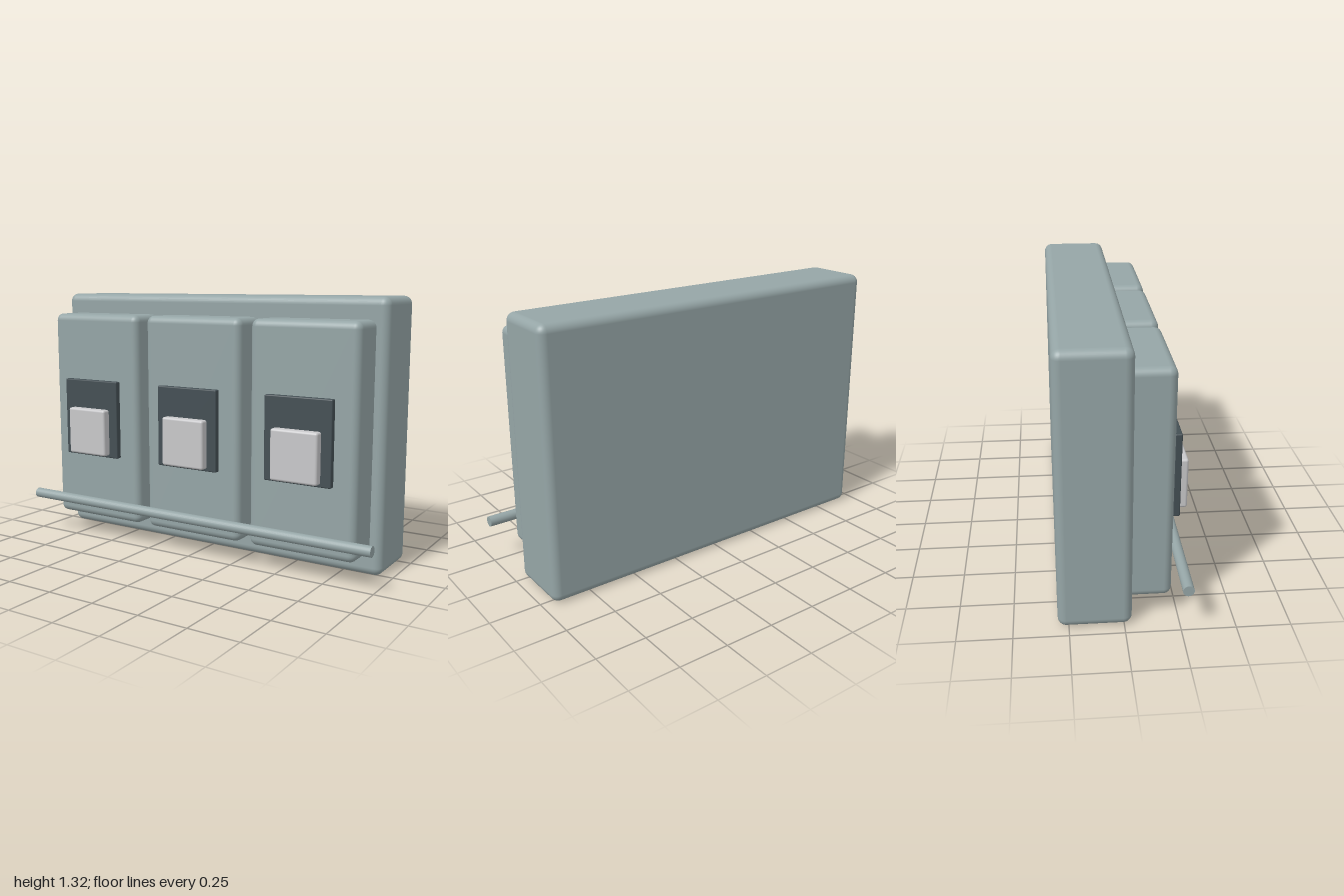
import * as THREE from 'three';
import { RoundedBoxGeometry } from 'three/addons/geometries/RoundedBoxGeometry.js';

function material(name, color) {
  const m = new THREE.MeshStandardMaterial({ color });
  m.name = name;
  return m;
}

export function createModel() {
  const group = new THREE.Group();
  group.name = 'switchPanel';
  const casing = material('grey green casing', 0x95a5a6);
  const dark = material('dark slate', 0x444f54);
  const light = material('light grey', 0xc8c8ca);

  // Rounded box given by its low and high extents on each axis
  function box(name, mat, [x0, x1], [y0, y1], [z0, z1], radius, parent = group) {
    const geometry = new RoundedBoxGeometry(x1 - x0, y1 - y0, z1 - z0, 4, radius);
    const mesh = new THREE.Mesh(geometry, mat);
    mesh.position.set((x0 + x1) / 2, (y0 + y1) / 2, (z0 + z1) / 2);
    mesh.name = name;
    parent.add(mesh);
  }

  // Back housing
  box('housing', casing, [-0.95, 0.95], [0, 1.318], [-0.3, 0.036], 0.04);

  // Three raised modules, each with a dark plate and a light button
  ['right', 'middle', 'left'].forEach((side, i) => {
    const unit = new THREE.Group();
    unit.name = side + 'Module';
    unit.position.x = (i - 1) * 0.613;
    box('modulePanel', casing, [-0.279, 0.279], [0.107, 1.213], [-0.06, 0.219], 0.036, unit);
    box('plate', dark, [-0.173, 0.173], [0.459, 0.867], [0.229, 0.262], 0.006, unit);
    box('button', light, [-0.121, 0.121], [0.472, 0.717], [0.235, 0.303], 0.012, unit);
    group.add(unit);
  });

  // Rail across the front
  const rail = new THREE.Mesh(new THREE.CylinderGeometry(0.026, 0.026, 2, 24), casing);
  rail.rotation.z = Math.PI / 2;
  rail.position.set(0, 0.207, 0.277);
  rail.name = 'rail';
  group.add(rail);

  return group;
}
